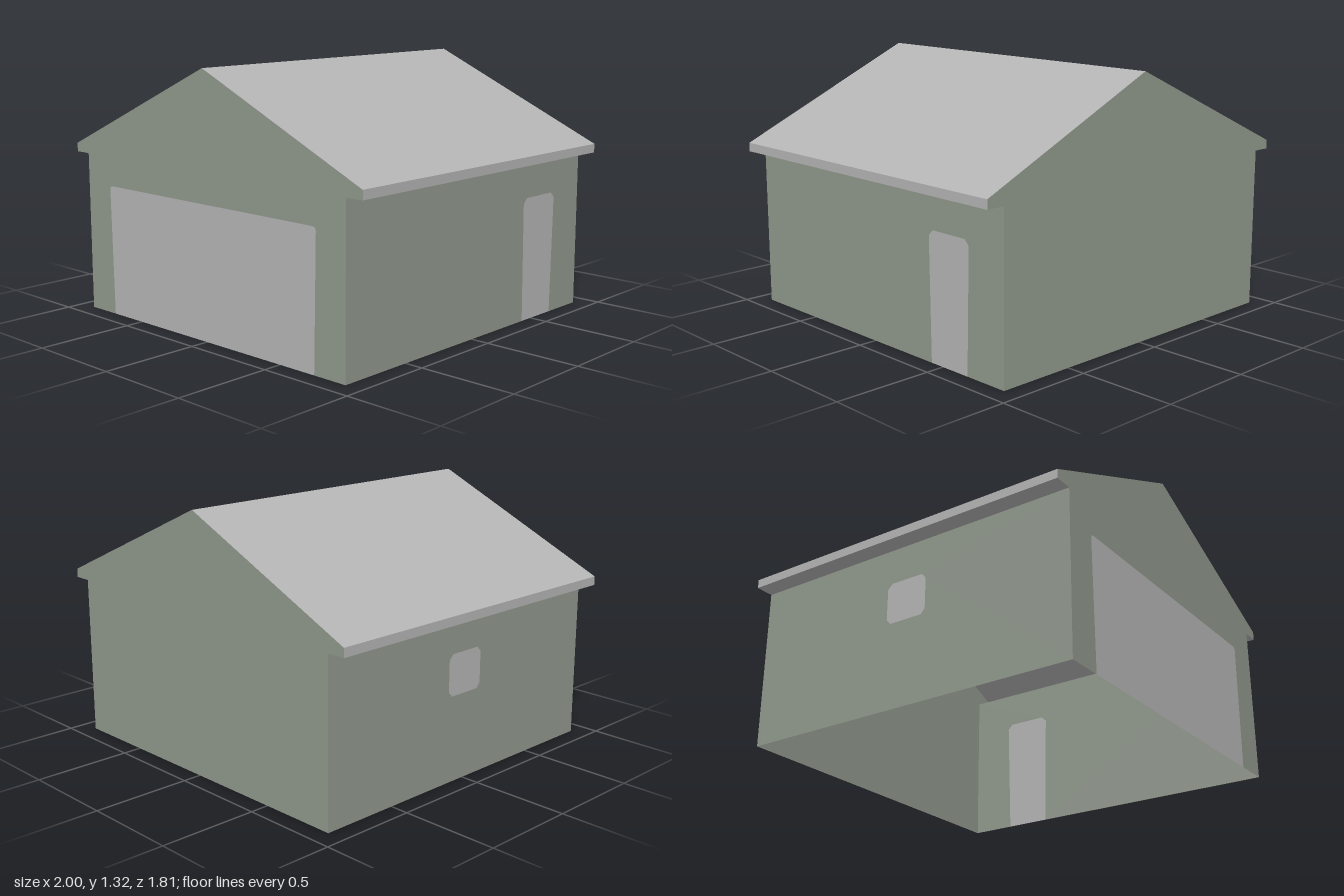
import * as THREE from 'three';

const HALF_W = 0.905, HALF_D = 0.905, WALL_H = 0.825, EAVE_H = 0.87, RIDGE_H = 1.317;

export function createModel() {
  const group = new THREE.Group();
  const wallMat = new THREE.MeshStandardMaterial({ color: 0x90988c, side: THREE.DoubleSide });
  wallMat.name = 'sage green walls';
  const greyMat = new THREE.MeshStandardMaterial({ color: 0xb4b4b4, side: THREE.DoubleSide });
  greyMat.name = 'light grey roof and openings';

  const toPoints = (list) => list.map(([x, y]) => new THREE.Vector2(x, y));

  // Flat sheet from an outline, turned about y and pushed outward to its wall plane
  function sheet(name, outline, material, turn, distance, hole) {
    const shape = new THREE.Shape(toPoints(outline));
    if (hole) shape.holes.push(new THREE.Path(toPoints(hole)));
    const geometry = new THREE.ShapeGeometry(shape);
    geometry.translate(0, 0, distance).rotateY(turn);
    const mesh = new THREE.Mesh(geometry, material);
    mesh.name = name;
    group.add(mesh);
  }

  // Opening outlines, each running from bottom left over the top to bottom right
  const garageDoor = [[-0.717, 0], [-0.729, 0.655], [-0.725, 0.668], [-0.71, 0.674],
    [0.71, 0.674], [0.725, 0.668], [0.729, 0.655], [0.717, 0]];
  const sideDoor = [[0.422, 0], [0.413, 0.608], [0.441, 0.635],
    [0.655, 0.635], [0.682, 0.608], [0.668, 0]];
  const sideWindow = [[-0.09, 0.435], [-0.113, 0.46], [-0.113, 0.62], [-0.088, 0.645],
    [0.088, 0.645], [0.113, 0.62], [0.113, 0.46], [0.09, 0.435]];

  // Gable ends reach out to the eave tips
  const gableTop = [[HALF_W, 0], [HALF_W, WALL_H], [1, WALL_H], [1, EAVE_H], [0, RIDGE_H],
    [-1, EAVE_H], [-1, WALL_H], [-HALF_W, WALL_H], [-HALF_W, 0]];
  sheet('frontWall', [...gableTop, ...garageDoor], wallMat, 0, HALF_D);
  sheet('garageDoor', garageDoor, greyMat, 0, HALF_D);
  sheet('backWall', gableTop, wallMat, Math.PI, HALF_D);

  // Side walls: door on the left, window on the right
  const sideTop = [[HALF_D, 0], [HALF_D, WALL_H], [-HALF_D, WALL_H], [-HALF_D, 0]];
  sheet('leftWall', [...sideTop, ...sideDoor], wallMat, Math.PI / 2, HALF_W);
  sheet('sideDoor', sideDoor, greyMat, Math.PI / 2, HALF_W);
  sheet('rightWall', sideTop, wallMat, -Math.PI / 2, HALF_W, sideWindow);
  sheet('sideWindow', sideWindow, greyMat, -Math.PI / 2, HALF_W);

  // Roof: soffits, fascias and slopes swept from front to back
  const profile = [[-HALF_W, WALL_H], [-1, WALL_H], [-1, EAVE_H], [0, RIDGE_H],
    [1, EAVE_H], [1, WALL_H], [HALF_W, WALL_H]];
  const positions = [];
  for (let i = 0; i < profile.length - 1; i++) {
    const a = profile[i], b = profile[i + 1];
    positions.push(...a, HALF_D, ...b, HALF_D, ...b, -HALF_D);
    positions.push(...a, HALF_D, ...b, -HALF_D, ...a, -HALF_D);
  }
  const roofGeometry = new THREE.BufferGeometry();
  roofGeometry.setAttribute('position', new THREE.Float32BufferAttribute(positions, 3));
  roofGeometry.computeVertexNormals();
  const roof = new THREE.Mesh(roofGeometry, greyMat);
  roof.name = 'roof';
  group.add(roof);

  return group;
}
